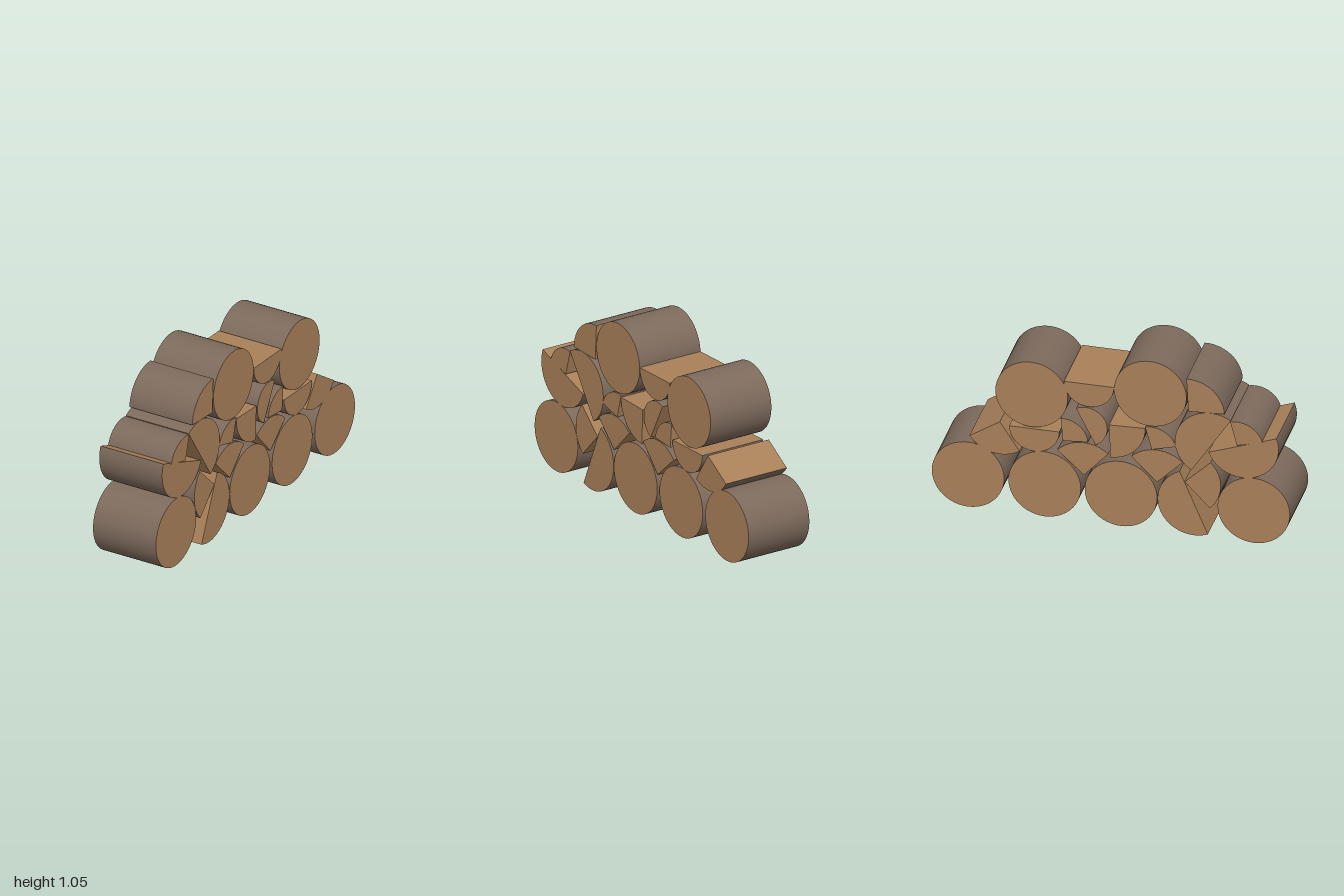
import * as THREE from 'three';

const LENGTH = 0.404;
const R = 0.202;

export function createModel() {
  const model = new THREE.Group();
  model.name = 'firewoodStack';

  const bark = new THREE.MeshStandardMaterial({ color: 0x7d6a5c });
  bark.name = 'bark';
  const wood = new THREE.MeshStandardMaterial({ color: 0xa98059 });
  wood.name = 'cutWood';

  // A log along x; angles in degrees run from the back (0) over the top (90) to the front (180).
  function addLog(name, z, y, r, from = 0, to = 360, length = LENGTH) {
    const log = new THREE.Group();
    log.name = name;
    log.position.set(0, y, z);
    const a0 = THREE.MathUtils.degToRad(from);
    const a1 = THREE.MathUtils.degToRad(to);
    const segments = Math.max(12, Math.round((to - from) / 7.5));
    const body = new THREE.CylinderGeometry(r, r, length, segments, 1, false, a0 + Math.PI, a1 - a0);
    body.rotateZ(-Math.PI / 2);
    const bodyMesh = new THREE.Mesh(body, [bark, wood, wood]);
    bodyMesh.name = 'barkAndEnds';
    log.add(bodyMesh);

    // Split faces from the heart to the bark
    if (to - from < 360) {
      [a0, a1].forEach((a, i) => {
        const face = new THREE.PlaneGeometry(length, r);
        if (i === 0) face.rotateY(Math.PI);
        face.translate(0, r / 2, 0);
        face.rotateX(a - Math.PI / 2);
        const mesh = new THREE.Mesh(face, wood);
        mesh.name = 'splitFace';
        log.add(mesh);
      });
    }
    model.add(log);
  }

  // Whole logs: z, y
  [[0.798, 0.202], [0.056, 0.202], [-0.37, 0.202], [-0.798, 0.202], [0.22, 0.851], [-0.443, 0.752]]
    .forEach(([z, y]) => addLog('wholeLog', z, y, R));

  // Half logs: z, y, radius, start angle
  [
    [0.463, 0.202, R, -113],
    [0.735, 0.6, R, 160],
    [0.56, 0.575, R, -57],
    [-0.14, 0.594, 0.12, 63],
    [-0.123, 0.861, 0.14, 180],
    [-0.428, 0.539, 0.14, 180],
  ].forEach(([z, y, r, a]) => addLog('halfLog', z, y, r, a, a + 180));

  // Quarter logs: z, y, radius, start angle, length
  [
    [0.412, 0.327, R, 136],
    [0.257, 0.302, R, 45],
    [-0.15, 0.29, R, 42],
    [0.705, 0.597, 0.147, 75, 0.408],
    [0.433, 0.771, R, 87],
    [0.228, 0.503, 0.14, 75],
    [-0.01, 0.623, R, 178],
    [-0.268, 0.487, 0.14, 85],
    [-0.62, 0.556, R, 237],
  ].forEach(([z, y, r, a, length]) => addLog('quarterLog', z, y, r, a, a + 90, length));

  return model;
}
